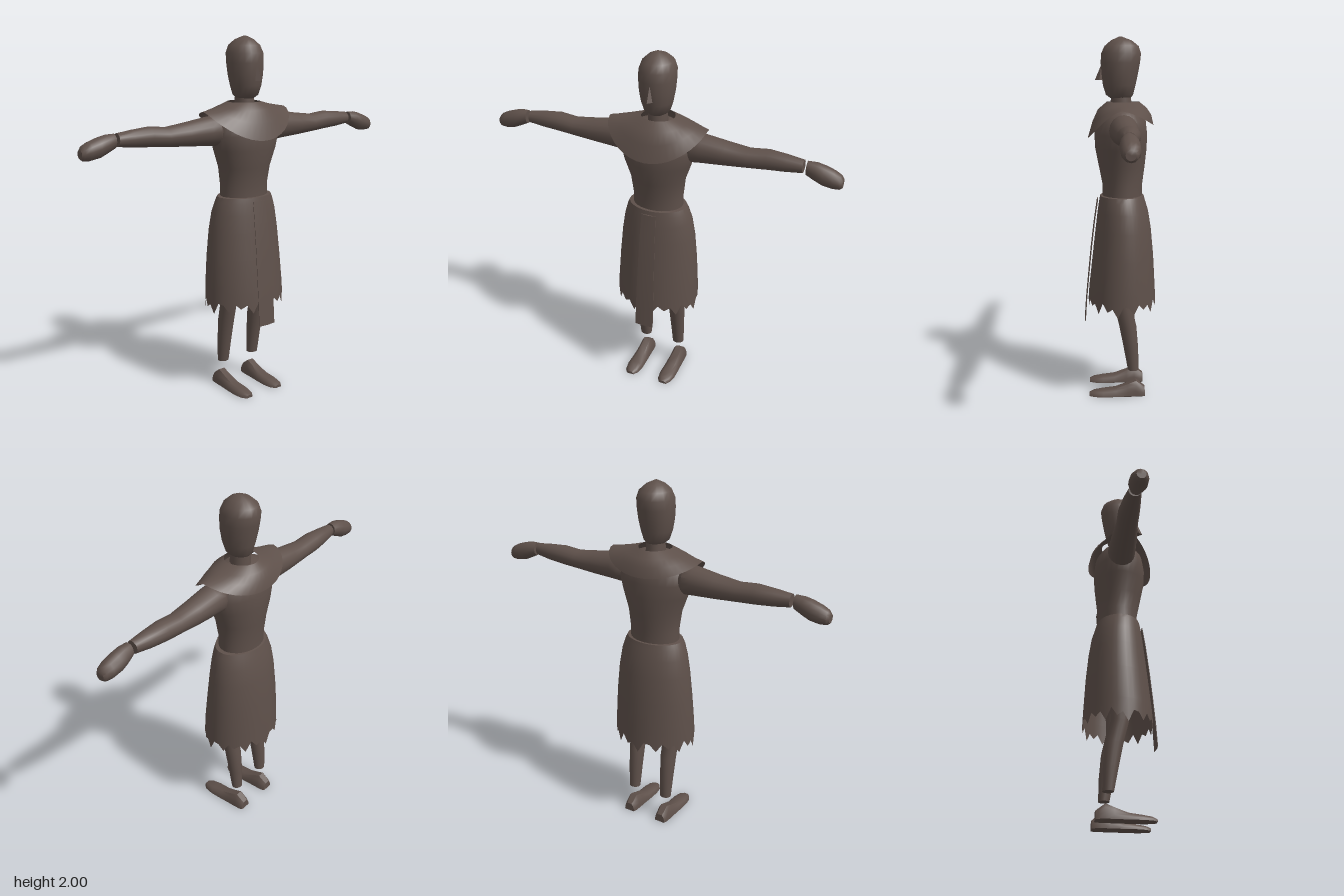
import * as THREE from 'three';
import { toCreasedNormals } from 'three/addons/utils/BufferGeometryUtils.js';

const cloth = new THREE.MeshStandardMaterial({ color: 0x5e504a, side: THREE.DoubleSide });
cloth.name = 'dark brown';

// Skin a list of closed rings (arrays of [x, y, z]), optionally capped and mirrored in x.
function loft(rings, { capStart = true, capEnd = true, mirror = false, crease = 0.7 } = {}) {
  const n = rings[0].length, pos = [], idx = [];
  for (const ring of rings) for (const p of ring) pos.push(mirror ? -p[0] : p[0], p[1], p[2]);
  const tri = (a, b, c) => (mirror ? idx.push(a, c, b) : idx.push(a, b, c));
  for (let r = 0; r < rings.length - 1; r++) {
    for (let i = 0; i < n; i++) {
      const a = r * n + i, b = r * n + (i + 1) % n;
      tri(a, b, b + n);
      tri(a, b + n, a + n);
    }
  }
  const cap = (r, flip) => {
    const c = pos.length / 3, ring = rings[r];
    const mid = [0, 1, 2].map(k => ring.reduce((s, p) => s + p[k], 0) / n);
    pos.push(mirror ? -mid[0] : mid[0], mid[1], mid[2]);
    for (let i = 0; i < n; i++) {
      const a = r * n + i, b = r * n + (i + 1) % n;
      flip ? tri(c, b, a) : tri(c, a, b);
    }
  };
  if (capStart) cap(0, true);
  if (capEnd) cap(rings.length - 1, false);
  const g = new THREE.BufferGeometry();
  g.setAttribute('position', new THREE.Float32BufferAttribute(pos, 3));
  g.setIndex(idx);
  return toCreasedNormals(g, crease);
}

const circle = (n, fn) => Array.from({ length: n }, (_, i) => fn(i / n * Math.PI * 2, i));

// Upright ring: y, half width, front z, back z, centre x
const upRing = (n, [y, rx, zf, zb, cx = 0]) => circle(n, a =>
  [cx + Math.sin(a) * rx, y, (zf + zb) / 2 + Math.cos(a) * (zf - zb) / 2]);

// Sideways ring: x, low y, high y, front z, back z
const sideRing = (n, [x, y0, y1, zf, zb]) => circle(n, a =>
  [x, (y0 + y1) / 2 + Math.cos(a) * (y1 - y0) / 2, (zf + zb) / 2 + Math.sin(a) * (zf - zb) / 2]);

export function createModel() {
  const model = new THREE.Group();
  model.name = 'robedFigure';
  const add = (name, geometry) => {
    const m = new THREE.Mesh(geometry, cloth);
    m.name = name;
    model.add(m);
  };

  // Head, nose and neck
  add('head', loft([
    [1.67, 0.045, 0.05, -0.055], [1.69, 0.068, 0.078, -0.07], [1.74, 0.084, 0.094, -0.083],
    [1.8, 0.095, 0.102, -0.096], [1.86, 0.099, 0.106, -0.107], [1.91, 0.098, 0.104, -0.113],
    [1.95, 0.083, 0.085, -0.1], [1.98, 0.05, 0.05, -0.062], [2.0, 0.006, 0.006, -0.008],
  ].map(s => upRing(18, s)), { crease: 1 }));
  const nose = new THREE.ConeGeometry(0.024, 0.085, 4);
  nose.scale(0.85, 1, 1);
  const np = nose.attributes.position;
  for (let i = 0; i < np.count; i++) {
    const t = (np.getY(i) + 0.0425) / 0.085;
    np.setZ(i, np.getZ(i) + 0.114 - 0.012 * t);
    np.setY(i, np.getY(i) + 1.811);
  }
  add('nose', toCreasedNormals(nose, 0.4));
  add('neck', loft([[1.58, 0.055, 0.055, -0.065], [1.7, 0.05, 0.05, -0.058]].map(s => upRing(16, s))));

  // Torso
  add('torso', loft([
    [1.12, 0.142, 0.098, -0.12], [1.2, 0.142, 0.098, -0.122], [1.3, 0.153, 0.118, -0.135],
    [1.4, 0.188, 0.138, -0.146], [1.48, 0.21, 0.142, -0.148], [1.55, 0.2, 0.13, -0.14],
    [1.6, 0.15, 0.1, -0.11], [1.625, 0.09, 0.07, -0.08],
  ].map(s => upRing(28, s)), { crease: 1 }));

  // Shoulder cape: high at the sides, drooping at front and back
  const capeRing = ([y, rx, zf, zb, dropF, dropB]) => circle(40, a => {
    const c = Math.cos(a), drop = (c > 0 ? dropF : dropB) * Math.abs(c) ** 1.5;
    return [Math.sin(a) * rx, y - drop, c * (c > 0 ? zf : -zb)];
  });
  add('shoulderCape', loft([
    [1.612, 0.278, 0.178, -0.182, 0.155, 0.085], [1.622, 0.22, 0.152, -0.17, 0.075, 0.04],
    [1.632, 0.165, 0.122, -0.145, 0.02, 0.012], [1.652, 0.09, 0.075, -0.105, 0, 0],
  ].map(capeRing), { capStart: false, capEnd: false, crease: 1 }));

  // Skirt with a ragged hem
  const tear = [0.55, 0.51, 0.56, 0.53, 0.55, 0.5, 0.565, 0.52, 0.54, 0.49, 0.555];
  const hem = upRing(40, [0.55, 0.238, 0.18, -0.2]).map(([x, , z], i) => [x, tear[i % tear.length], z]);
  add('skirt', loft([hem, ...[
    [0.62, 0.237, 0.175, -0.196], [0.8, 0.226, 0.155, -0.186], [0.95, 0.212, 0.138, -0.172],
    [1.05, 0.196, 0.126, -0.156], [1.11, 0.178, 0.117, -0.138], [1.138, 0.164, 0.112, -0.13],
    [1.14, 0.14, 0.095, -0.118],
  ].map(s => upRing(40, s))], { capStart: false, capEnd: false }));

  // Hanging front panel, a thin curved strip
  const strip = [[0.425, 0.054, 0.203], [0.55, 0.053, 0.195], [0.7, 0.051, 0.181],
    [0.85, 0.048, 0.166], [1.0, 0.045, 0.148], [1.12, 0.041, 0.13]];
  add('frontPanel', loft(strip.map(([y, w, z]) =>
    [[-w, y, z - 0.004], [-w, y, z - 0.007], [w, y, z - 0.007], [w, y, z - 0.004], [0, y, z]].slice().reverse()
      .map(([x, py, pz]) => [-x, py, pz]).reverse().map(([x, py, pz]) => [-x, py, pz]).reverse()), { crease: 0.4 }));

  // Limbs, mirrored left and right
  for (const [side, mirror] of [['left', false], ['right', true]]) {
    add(side + 'Arm', loft([
      [0.17, 1.45, 1.565, 0.04, -0.07], [0.2, 1.425, 1.59, 0.065, -0.09], [0.25, 1.43, 1.585, 0.062, -0.09],
      [0.38, 1.438, 1.565, 0.05, -0.086], [0.5, 1.447, 1.55, 0.038, -0.078], [0.6, 1.455, 1.56, 0.034, -0.08],
      [0.7, 1.463, 1.552, 0.026, -0.067], [0.785, 1.474, 1.542, 0.017, -0.05],
    ].map(s => sideRing(16, s)), { mirror }));

    add(side + 'Hand', loft([
      [0.803, 1.468, 1.542, 0.02, -0.046], [0.85, 1.446, 1.541, 0.031, -0.06], [0.89, 1.428, 1.532, 0.034, -0.064],
      [0.94, 1.42, 1.515, 0.031, -0.062], [0.975, 1.422, 1.497, 0.022, -0.052], [0.988, 1.432, 1.48, 0.01, -0.038],
    ].map(s => sideRing(12, s)), { mirror }));

    add(side + 'Leg', loft([
      [0.155, 0.033, -0.04, -0.1, 0.107], [0.28, 0.039, -0.017, -0.098, 0.107], [0.41, 0.045, 0.008, -0.087, 0.107],
      [0.53, 0.046, 0.038, -0.06, 0.108], [0.7, 0.056, 0.055, -0.065, 0.108], [0.95, 0.065, 0.06, -0.08, 0.1],
    ].map(s => upRing(16, s)), { mirror }));

    // Foot: domed sections from heel to toe [z, half width, height]
    const dome = ([z, w, h]) => [[1, 0.05], [0.95, 0.4], [0.75, 0.75], [0.45, 1], [-0.45, 1], [-0.75, 0.75],
      [-0.95, 0.4], [-1, 0.05], [-0.9, 0], [0.9, 0]].map(([u, v]) => [0.107 + u * w, 0.005 + v * h, z]);
    add(side + 'Foot', loft([
      [-0.135, 0.032, 0.048], [-0.12, 0.038, 0.06], [-0.085, 0.042, 0.086], [-0.04, 0.043, 0.068],
      [0.03, 0.046, 0.042], [0.1, 0.048, 0.033], [0.15, 0.04, 0.026], [0.177, 0.022, 0.016],
    ].map(dome), { mirror }));
  }

  // Stand on the ground and centre front to back
  const box = new THREE.Box3().setFromObject(model);
  model.position.y = -box.min.y;
  return model;
}
